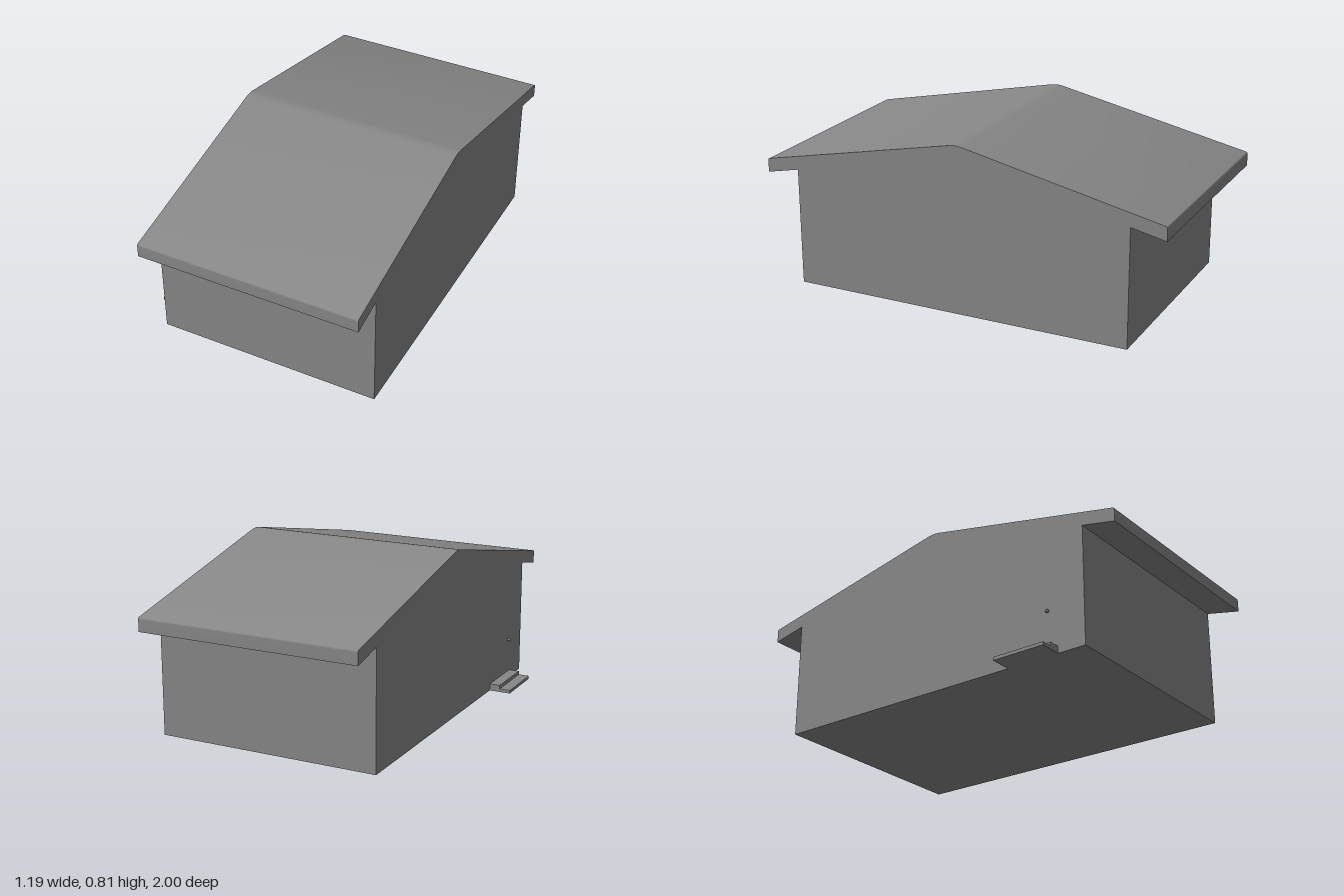
import * as THREE from 'three';
import { toCreasedNormals } from 'three/addons/utils/BufferGeometryUtils.js';

const RIGHT = -0.489, LEFT = 0.595; // gable ends along x
const WALL = 0.835;                 // half depth of the walls
const EAVE = 1;                     // half depth of the roof
const SLOPE = 0.215;
const underside = z => 0.534 + (EAVE - Math.abs(z)) * SLOPE;

const material = new THREE.MeshStandardMaterial({ color: 0x888888 });

function addMesh(parent, name, geometry, x = 0, y = 0, z = 0) {
  const mesh = new THREE.Mesh(geometry, material);
  mesh.name = name;
  mesh.position.set(x, y, z);
  parent.add(mesh);
  return mesh;
}

// Sweeps a (z, y) outline along x between two ends
function sweepAlongX(shape, x0, x1) {
  const geometry = new THREE.ExtrudeGeometry(shape, { depth: x1 - x0, bevelEnabled: false, curveSegments: 6 });
  geometry.rotateY(-Math.PI / 2).translate(x1, 0, 0);
  return toCreasedNormals(geometry, 0.4);
}

export function createModel() {
  const model = new THREE.Group();
  model.name = 'house';

  // Walls with gable ends reaching up to the roof's underside
  const walls = new THREE.Shape();
  walls.moveTo(-WALL, 0);
  walls.lineTo(WALL, 0);
  walls.lineTo(WALL, underside(WALL));
  walls.lineTo(0, underside(0));
  walls.lineTo(-WALL, underside(WALL));
  walls.closePath();
  addMesh(model, 'walls', sweepAlongX(walls, RIGHT, LEFT));

  // Gabled roof slab with overhanging eaves, softened at the ridge and eave edges
  const roof = new THREE.Shape();
  roof.moveTo(-EAVE, underside(EAVE));
  roof.lineTo(0, underside(0));
  roof.lineTo(EAVE, underside(EAVE));
  roof.lineTo(EAVE, 0.592);
  roof.quadraticCurveTo(EAVE, 0.6, EAVE - 0.008, 0.6017);
  roof.lineTo(0.035, 0.805);
  roof.quadraticCurveTo(0, 0.8125, -0.035, 0.805);
  roof.lineTo(-EAVE + 0.008, 0.6017);
  roof.quadraticCurveTo(-EAVE, 0.6, -EAVE, 0.592);
  roof.closePath();
  addMesh(model, 'roof', sweepAlongX(roof, RIGHT, LEFT));

  // Two entrance steps on the right side
  const steps = new THREE.Group();
  steps.name = 'steps';
  model.add(steps);
  for (const [name, outer, inner, height] of [
    ['lowerStep', -0.596, -0.542, 0.016],
    ['upperStep', -0.542, RIGHT, 0.034],
  ]) {
    addMesh(steps, name, new THREE.BoxGeometry(inner - outer, height, 0.262), (outer + inner) / 2, height / 2, 0.564);
  }

  // Door knob beside the steps
  addMesh(model, 'doorKnob', new THREE.SphereGeometry(0.008, 20, 14), -0.499, 0.208, 0.65);

  return model;
}
